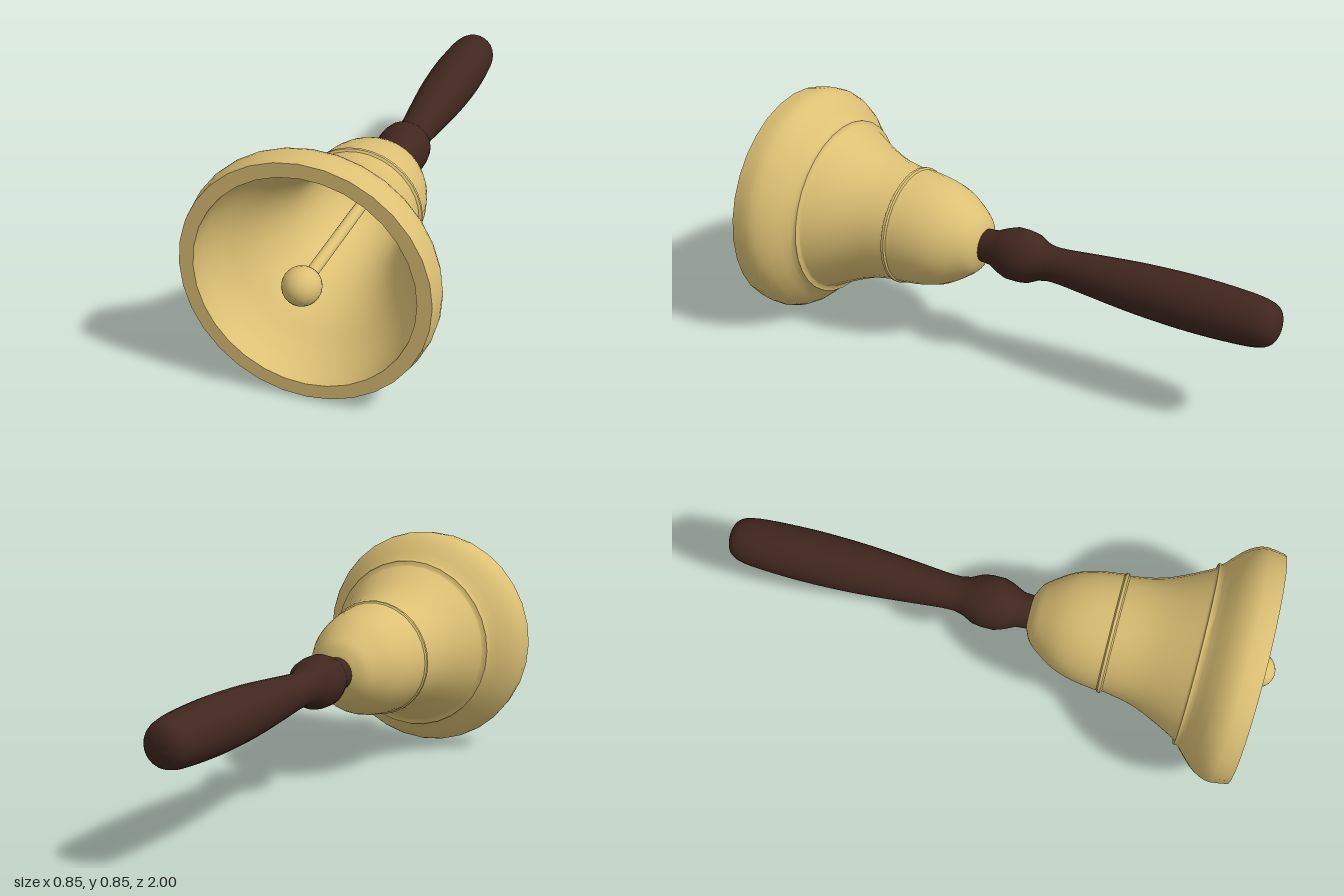
import * as THREE from 'three';
import { toCreasedNormals } from 'three/addons/utils/BufferGeometryUtils.js';

const brass = new THREE.MeshStandardMaterial({ color: 0xdcc074 });
const wood = new THREE.MeshStandardMaterial({ color: 0x40261e });
const AXIS_Y = 0.425;

const vecs = (pts) => pts.map(([r, z]) => new THREE.Vector2(r, z));
const smooth = (pts, n) => new THREE.SplineCurve(vecs(pts)).getPoints(n);

// Turned part: profile of [radius, z] points revolved about the z axis
function turned(name, points, segments, material, crease) {
  const geo = toCreasedNormals(new THREE.LatheGeometry(points, segments), crease);
  geo.rotateX(Math.PI / 2);
  const mesh = new THREE.Mesh(geo, material);
  mesh.name = name;
  return mesh;
}

export function createModel() {
  const group = new THREE.Group();
  group.name = 'handBell';

  // Bell body: dome, bead, flared waist, bead, lip, then back up the inside
  const profile = [
    ...vecs([[0, 0.115]]),
    ...smooth([[0.06, 0.118], [0.1, 0.137], [0.13, 0.17], [0.175, 0.24], [0.2, 0.32], [0.212, 0.41]], 14),
    ...vecs([[0.218, 0.415], [0.218, 0.425], [0.21, 0.43]]),
    ...smooth([[0.212, 0.445], [0.228, 0.53], [0.258, 0.61], [0.303, 0.7], [0.31, 0.713]], 10),
    ...vecs([[0.328, 0.717], [0.328, 0.73]]),
    ...smooth([[0.333, 0.737], [0.388, 0.79], [0.414, 0.83], [0.423, 0.87], [0.413, 0.932]], 8),
    ...vecs([[0.365, 0.932]]),
    ...smooth([[0.36, 0.86], [0.325, 0.785], [0.27, 0.71], [0.22, 0.61], [0.19, 0.52], [0.177, 0.42]], 12),
    ...smooth([[0.172, 0.39], [0.158, 0.31], [0.125, 0.23], [0.07, 0.175], [0, 0.165]], 10),
  ];
  group.add(turned('bell', profile, 32, brass, 0.7));

  // Wooden handle with a swelling grip and a collar next to the bell
  const grip = smooth([
    [0, -1], [0.035, -0.995], [0.065, -0.978], [0.083, -0.935], [0.092, -0.84], [0.096, -0.68],
    [0.09, -0.5], [0.077, -0.34], [0.064, -0.2], [0.063, -0.15],
  ], 30);
  const collar = vecs([
    [0.07, -0.115], [0.09, -0.075], [0.095, -0.04], [0.095, 0.005], [0.083, 0.04], [0.064, 0.08], [0.06, 0.13], [0, 0.13],
  ]);
  group.add(turned('handle', [...grip, ...collar], 24, wood, 0.9));

  // Clapper rod and ball
  const rod = new THREE.Mesh(new THREE.CylinderGeometry(0.02, 0.02, 0.78, 16), brass);
  rod.name = 'clapperRod';
  rod.rotation.x = Math.PI / 2;
  rod.position.z = 0.54;
  const ball = new THREE.Mesh(new THREE.SphereGeometry(0.063, 20, 14), brass);
  ball.name = 'clapperBall';
  ball.rotation.x = Math.PI / 2;
  ball.position.z = 0.937;
  group.add(rod, ball);

  for (const part of group.children) part.position.y = AXIS_Y;
  return group;
}
